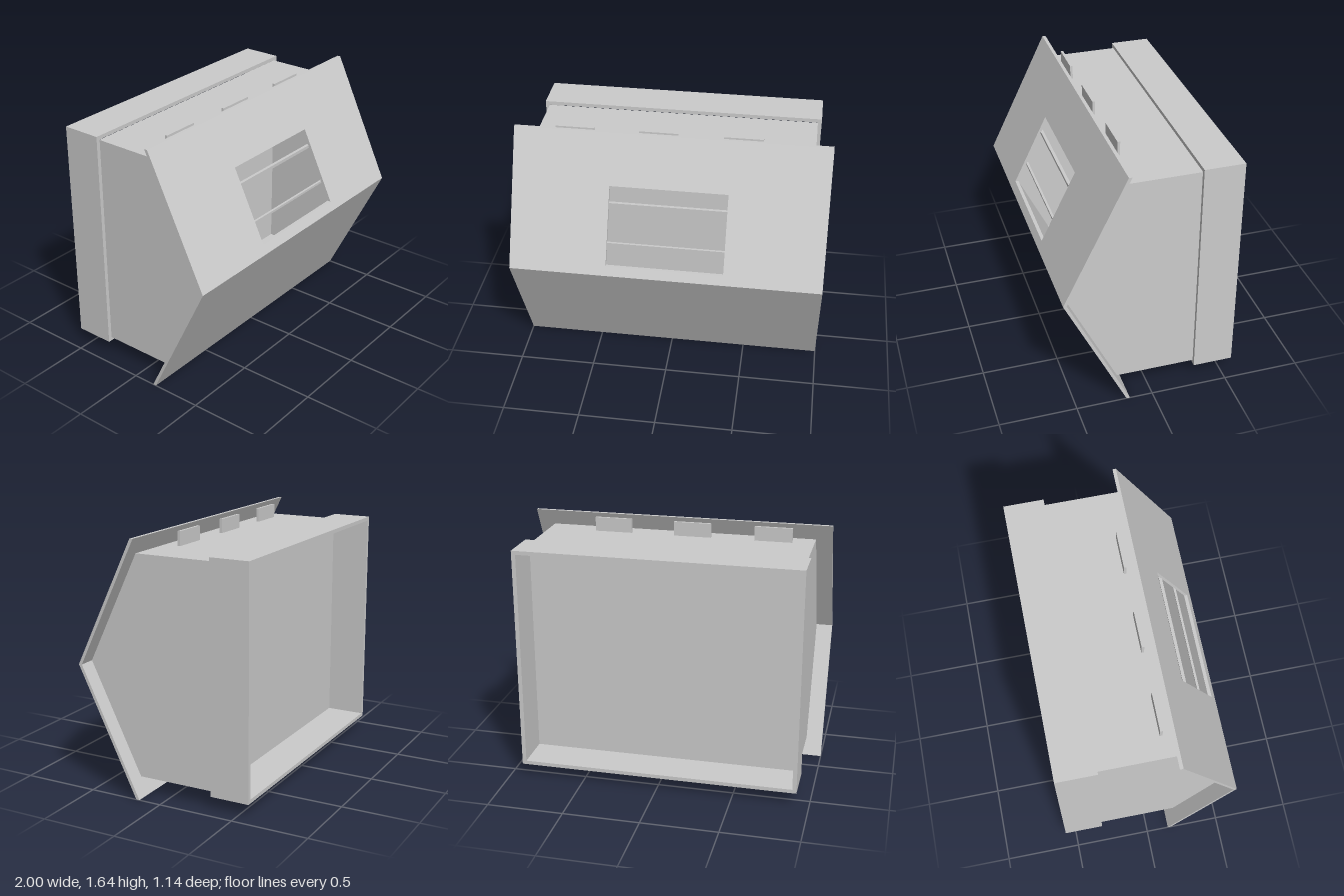
import * as THREE from 'three';

const material = new THREE.MeshStandardMaterial({ color: 0xcccccc, flatShading: true, side: THREE.DoubleSide });
const MID = 0.825;            // height of the front crease
const TIP = 0.572;            // z of the front crease
const SLOPE = 0.485;          // how far the front falls back per unit of height
const SKIN = 0.022;

function add(parent, name, geometry, x = 0, y = 0, z = 0) {
  const mesh = new THREE.Mesh(geometry, material);
  mesh.name = name;
  mesh.position.set(x, y, z);
  parent.add(mesh);
  return mesh;
}

// Box given by its limits on each axis
function block(parent, name, [x0, x1], [y0, y1], [z0, z1]) {
  return add(parent, name, new THREE.BoxGeometry(x1 - x0, y1 - y0, z1 - z0),
    (x0 + x1) / 2, (y0 + y1) / 2, (z0 + z1) / 2);
}

function rect(Type, x0, x1, y0, y1) {
  const p = new Type();
  p.moveTo(x0, y0).lineTo(x1, y0).lineTo(x1, y1).lineTo(x0, y1).closePath();
  return p;
}

// Upright panel sheared backwards away from the crease
function slopedPanel(shape) {
  const g = new THREE.ExtrudeGeometry(shape, { depth: SKIN, bevelEnabled: false });
  const p = g.attributes.position;
  for (let i = 0; i < p.count; i++) {
    p.setZ(i, p.getZ(i) + TIP - SKIN - SLOPE * Math.abs(p.getY(i) - MID));
  }
  g.computeVertexNormals();
  return g;
}

export function createModel() {
  const model = new THREE.Group();
  model.name = 'housing';

  // Folded front plate, the upper half with a window
  const upper = rect(THREE.Shape, -1, 1, MID, 1.645);
  upper.holes.push(rect(THREE.Path, -0.375, 0.375, 0.88, 1.345));
  add(model, 'upperFrontPlate', slopedPanel(upper));
  add(model, 'lowerFrontPlate', slopedPanel(rect(THREE.Shape, -1, 1, 0, MID)));

  // Bars across the window
  block(model, 'upperWindowBar', [-0.4, 0.4], [1.22, 1.24], [0.335, 0.355]);
  block(model, 'lowerWindowBar', [-0.4, 0.4], [0.99, 1.005], [0.445, 0.46]);

  // Hollow body: pointed side walls, roof, floor and back wall
  const side = new THREE.Shape();
  side.moveTo(-0.315, 0.11).lineTo(0.223, 0.11).lineTo(TIP - 0.004, MID)
    .lineTo(0.223, 1.537).lineTo(-0.315, 1.537).closePath();
  const sideGeometry = new THREE.ExtrudeGeometry(side, { depth: SKIN, bevelEnabled: false });
  sideGeometry.rotateY(-Math.PI / 2);   // profile runs along z, thickness towards -x
  add(model, 'leftSideWall', sideGeometry, 0.892);
  add(model, 'rightSideWall', sideGeometry, -0.892 + SKIN);
  block(model, 'roof', [-0.871, 0.871], [1.515, 1.537], [-0.315, 0.215]);
  block(model, 'floor', [-0.871, 0.871], [0.11, 0.132], [-0.315, 0.215]);
  block(model, 'backWall', [-0.871, 0.871], [0.132, 1.515], [-0.315, -0.295]);

  // Stepped fitting on the inside of the back wall
  block(model, 'fittingBase', [-0.22, 0.13], [1.09, 1.35], [-0.295, -0.27]);
  block(model, 'fittingMiddle', [-0.13, 0.125], [1.1, 1.33], [-0.27, -0.245]);
  block(model, 'fittingTop', [-0.065, 0.09], [1.165, 1.305], [-0.245, -0.22]);

  // Open frame around the back
  const frame = rect(THREE.Shape, -0.917, 0.917, 0.085, 1.565);
  frame.holes.push(rect(THREE.Path, -0.89, 0.89, 0.11, 1.54));
  add(model, 'backFrame', new THREE.ExtrudeGeometry(frame, { depth: 0.26, bevelEnabled: false }), 0, 0, -0.572);

  // Tabs along the roof and the floor
  for (const x of [-0.627, -0.092, 0.443]) {
    block(model, 'topTab', [x - 0.124, x + 0.124], [1.53, 1.63], [0.09, 0.107]);
    block(model, 'bottomTab', [x - 0.124, x + 0.124], [0.02, 0.12], [0.09, 0.107]);
  }
  return model;
}
